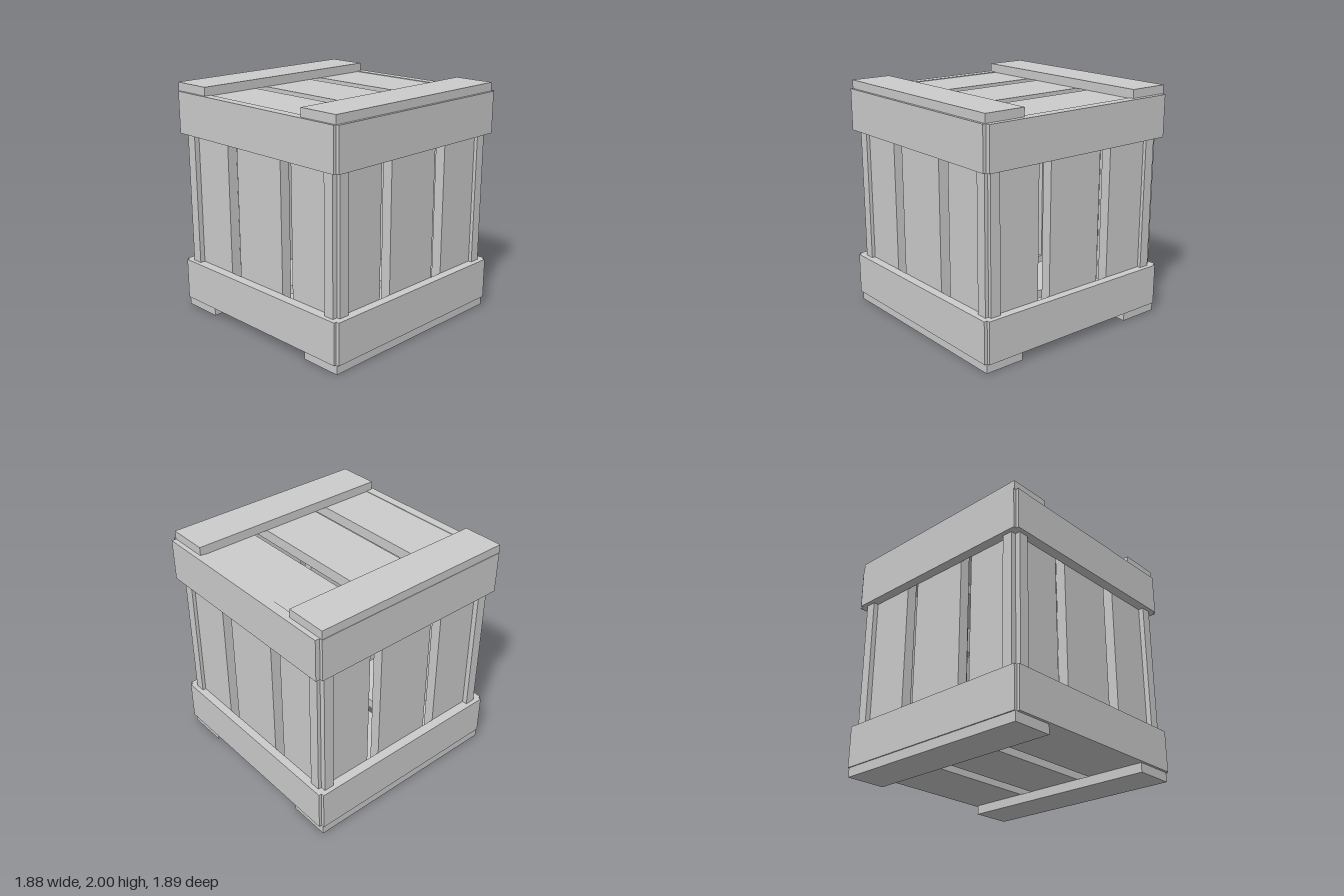
import * as THREE from 'three';

const material = new THREE.MeshStandardMaterial({ color: 0xcccccc, flatShading: true });

// Adds a plank given its [min, max] range on each axis
function plank(group, name, [x0, x1], [y0, y1], [z0, z1]) {
  const mesh = new THREE.Mesh(new THREE.BoxGeometry(x1 - x0, y1 - y0, z1 - z0), material);
  mesh.position.set((x0 + x1) / 2, (y0 + y1) / 2, (z0 + z1) / 2);
  mesh.name = name;
  group.add(mesh);
}

export function createModel() {
  const crate = new THREE.Group();
  crate.name = 'crate';

  // Three slats per face, slightly off centre, crossing at the corners
  const slatsX = [[-0.905, -0.385], [-0.27, 0.25], [0.37, 0.89]];
  const slatsZ = [[-0.89, -0.372], [-0.25, 0.27], [0.385, 0.905]];
  const upright = [0.1, 1.9];
  const inner = [[-0.86, -0.77], [0.77, 0.86]];
  for (const x of slatsX) {
    plank(crate, 'backSlat', x, upright, inner[0]);
    plank(crate, 'frontSlat', x, upright, inner[1]);
  }
  for (const z of slatsZ) {
    plank(crate, 'rightSlat', inner[0], upright, z);
    plank(crate, 'leftSlat', inner[1], upright, z);
    plank(crate, 'bottomSlat', [-0.905, 0.89], [0.08, 0.17], z);
    plank(crate, 'topSlat', [-0.905, 0.89], [1.833, 1.923], z);
  }

  // Horizontal bands around the bottom and top
  for (const [level, y, back] of [['lower', [0.08, 0.435], -0.93], ['upper', [1.572, 1.928], -0.944]]) {
    plank(crate, level + 'FrontBand', [-0.915, 0.908], y, [0.86, 0.942]);
    plank(crate, level + 'BackBand', [-0.915, 0.908], y, [back, -0.86]);
    plank(crate, level + 'RightBand', [-0.942, -0.86], y, [-0.905, 0.918]);
    plank(crate, level + 'LeftBand', [0.86, 0.936], y, [-0.905, 0.918]);
  }

  // Feet below and battens across the lid
  for (const x of [[-0.932, -0.575], [0.56, 0.915]]) plank(crate, 'foot', x, [0, 0.08], [-0.905, 0.918]);
  for (const x of [[-0.938, -0.58], [0.553, 0.912]]) plank(crate, 'lidBatten', x, [1.922, 2], [-0.902, 0.922]);

  return crate;
}
